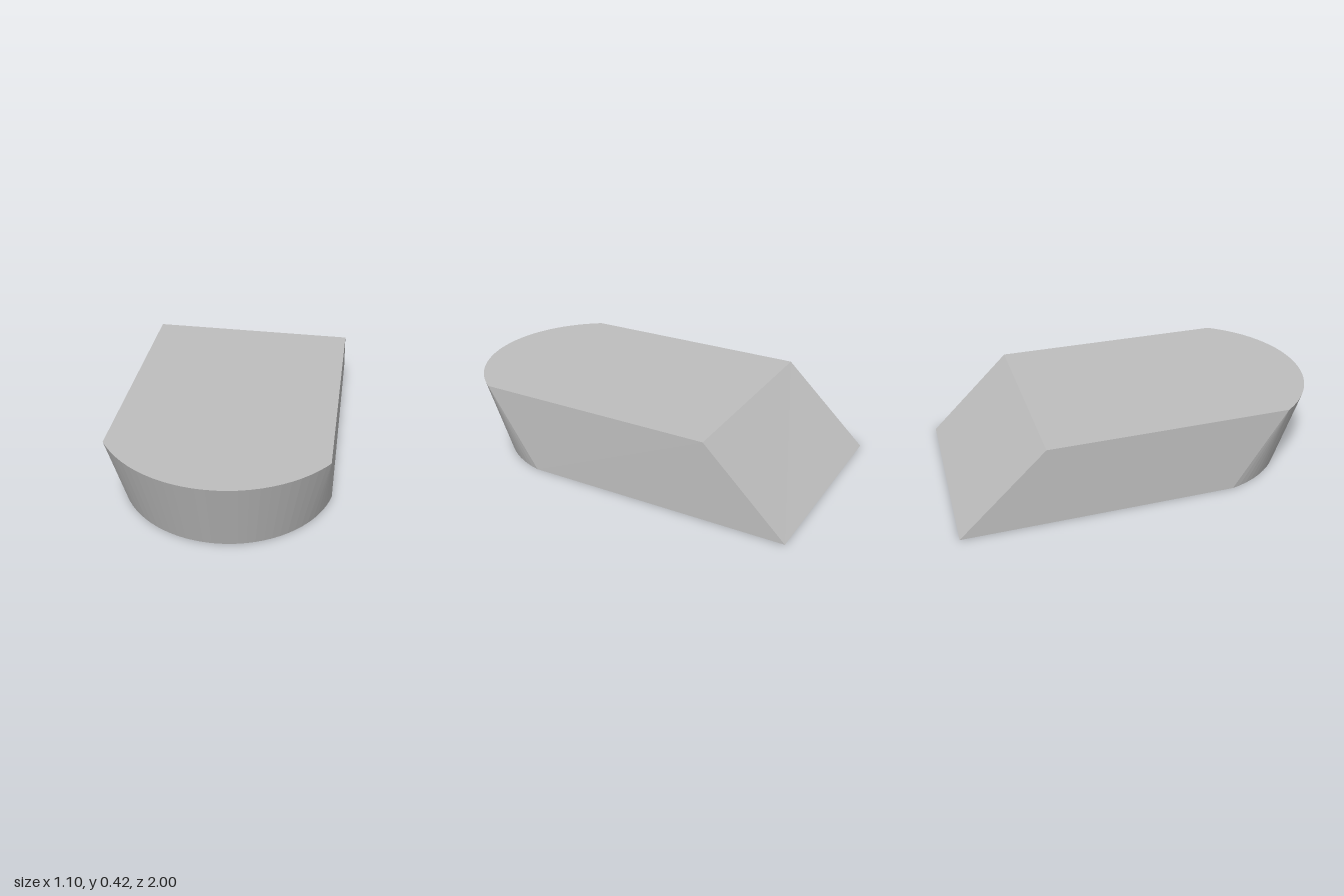
import * as THREE from 'three';

// Point on a rounded front edge, at an angle from straight ahead
const arcPoint = (radius, centreZ, angle, y) =>
  new THREE.Vector3(radius * Math.sin(angle), y, centreZ + radius * Math.cos(angle));

export function createModel() {
  const group = new THREE.Group();
  group.name = 'wedgeBlock';
  const grey = new THREE.MeshStandardMaterial({ color: 0xbebebe, flatShading: true });
  grey.name = 'light grey';

  const HEIGHT = 0.42, STEPS = 36;
  const bottom = [], top = [];

  // Rounded front: the shorter top arc stops early, so its corners fan down to the base
  const maxAngle = Math.asin(0.548 / 0.56);
  const topLeft = Math.asin(0.54 / 0.66), topRight = -Math.asin(0.548 / 0.66);
  for (let i = 0; i <= STEPS; i++) {
    const a = maxAngle * (2 * i / STEPS - 1);
    bottom.push(arcPoint(0.56, 0.31, a, 0));
    top.push(arcPoint(0.66, 0.34, THREE.MathUtils.clamp(a, topRight, topLeft), HEIGHT));
  }

  // Back corners, with the base reaching further back than the top
  bottom.push(new THREE.Vector3(0.548, 0, -0.98), new THREE.Vector3(-0.548, 0, -1));
  top.push(new THREE.Vector3(0.546, HEIGHT, -0.545), new THREE.Vector3(-0.548, HEIGHT, -0.555));

  const positions = [];
  const triangle = (a, b, c) => {
    if (new THREE.Triangle(a, b, c).getArea() < 1e-7) return;
    for (const p of [a, b, c]) positions.push(p.x, p.y, p.z);
  };

  // Walls between the two outlines, then the flat caps
  const n = bottom.length;
  for (let i = 0; i < n; i++) {
    const j = (i + 1) % n;
    triangle(bottom[i], bottom[j], top[j]);
    triangle(bottom[i], top[j], top[i]);
  }
  for (let i = 1; i < n - 1; i++) {
    triangle(top[0], top[i], top[i + 1]);
    triangle(bottom[0], bottom[i + 1], bottom[i]);
  }

  const geometry = new THREE.BufferGeometry();
  geometry.setAttribute('position', new THREE.Float32BufferAttribute(positions, 3));
  geometry.computeVertexNormals();
  const body = new THREE.Mesh(geometry, grey);
  body.name = 'body';
  group.add(body);
  return group;
}
